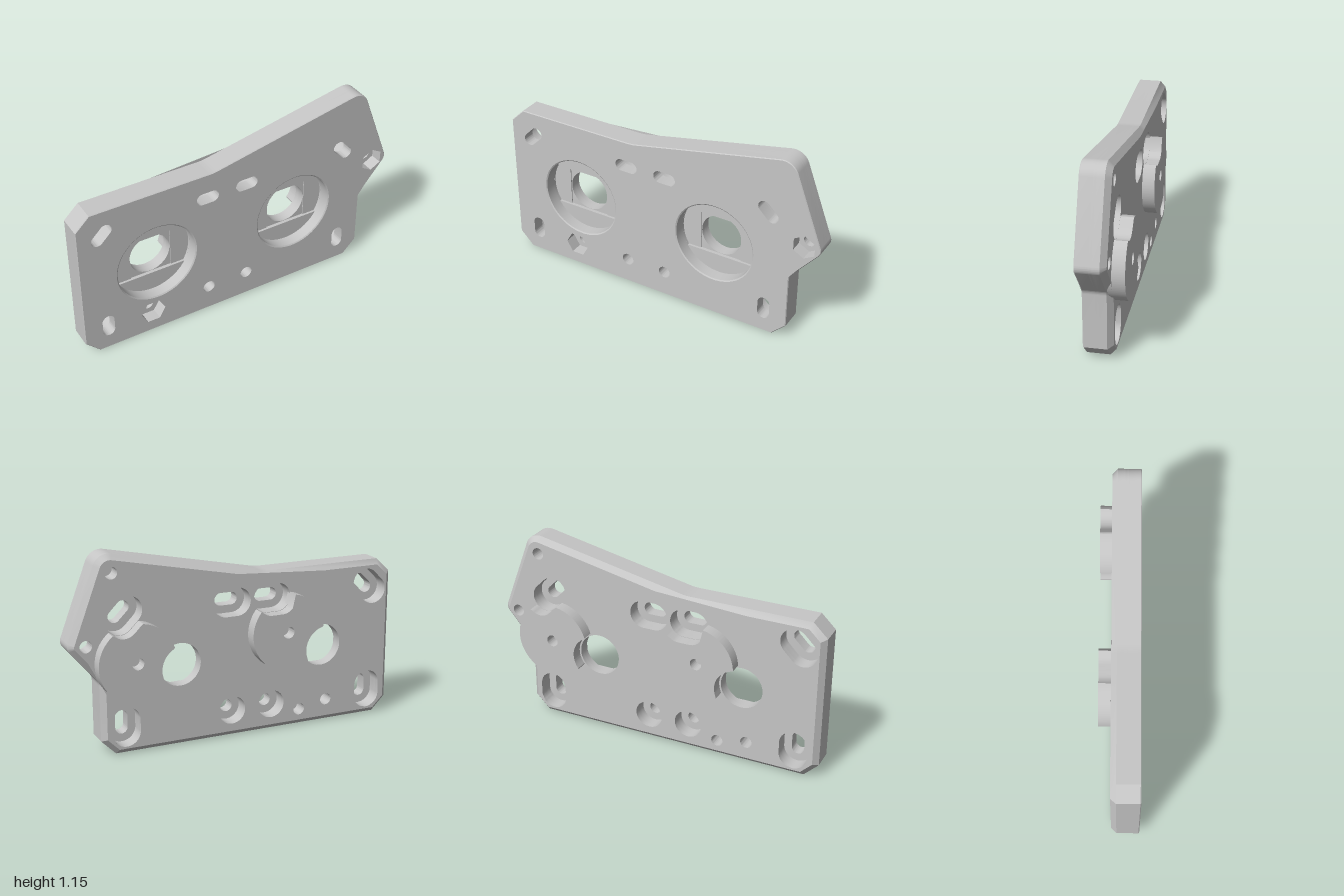
import * as THREE from 'three';
import { toCreasedNormals } from 'three/addons/utils/BufferGeometryUtils.js';

const V = (x, y) => new THREE.Vector2(x, y);

// Closed polygon from [x, y, cornerRadius] corners
function roundedOutline(corners) {
  const pts = [];
  corners.forEach(([x, y, r], i) => {
    const c = V(x, y);
    if (!r) return pts.push(c);
    const p = corners[(i + corners.length - 1) % corners.length];
    const n = corners[(i + 1) % corners.length];
    const a = V(p[0], p[1]).sub(c).normalize();
    const b = V(n[0], n[1]).sub(c).normalize();
    const half = Math.acos(a.dot(b)) / 2;
    const t = r / Math.tan(half);
    const o = a.clone().add(b).normalize().multiplyScalar(r / Math.sin(half)).add(c);
    const s = a.multiplyScalar(t).add(c).sub(o);
    const e = b.multiplyScalar(t).add(c).sub(o);
    const sweep = Math.atan2(s.cross(e), s.dot(e));
    for (let k = 0; k <= 10; k++) pts.push(s.clone().rotateAround(V(0, 0), sweep * k / 10).add(o));
  });
  return pts;
}

// Mitred inward offset of a counter-clockwise polygon
function inset(pts, d) {
  return pts.map((p, i) => {
    const a = p.clone().sub(pts[(i + pts.length - 1) % pts.length]).normalize();
    const b = pts[(i + 1) % pts.length].clone().sub(p).normalize();
    const m = V(-a.y - b.y, a.x + b.x).normalize();
    return m.clone().multiplyScalar(d / Math.max(0.3, m.dot(V(-a.y, a.x)))).add(p);
  });
}

// Slot of half length h at angle a; h = 0 gives a circle
function slot(x, y, r, h = 0, a = 0) {
  const pts = [];
  for (const side of [0, 1]) {
    const base = a + side * Math.PI;
    for (let i = 0; i < 24; i++) {
      const t = base - Math.PI / 2 + (i + 0.5) / 24 * Math.PI;
      pts.push(V(x + Math.cos(base) * h + Math.cos(t) * r, y + Math.sin(base) * h + Math.sin(t) * r));
    }
  }
  return pts;
}

function polygon(x, y, r, sides, start) {
  return Array.from({ length: sides }, (_, i) => {
    const t = start + i / sides * Math.PI * 2;
    return V(x + Math.cos(t) * r, y + Math.sin(t) * r);
  });
}

// Band of half height h across a circle
function band(x, y, r, h) {
  const t = Math.asin(h / r);
  return [0, Math.PI].flatMap(base => Array.from({ length: 9 }, (_, i) => {
    const a = base - t + 2 * t * i / 8;
    return V(x + Math.cos(a) * r, y + Math.sin(a) * r);
  }));
}

function slab(pts, holes, z0, z1) {
  const shape = new THREE.Shape(pts);
  shape.holes = holes.map(h => new THREE.Path(h));
  return new THREE.ExtrudeGeometry(shape, { depth: z1 - z0, bevelEnabled: false }).translate(0, 0, z0);
}

// Move the points of one loop at height z to another loop, making a chamfer
function taper(geo, z, from, to) {
  const pos = geo.attributes.position;
  for (let i = 0; i < pos.count; i++) {
    if (Math.abs(pos.getZ(i) - z) > 0.001) continue;
    const p = V(pos.getX(i), pos.getY(i));
    const k = from.findIndex(o => o.distanceTo(p) < 1e-5);
    if (k >= 0) pos.setXY(i, to[k].x, to[k].y);
  }
}

export function createModel() {
  const group = new THREE.Group();
  const grey = new THREE.MeshStandardMaterial({ color: 0xc6c6c6 });
  grey.name = 'lightGrey';
  const add = (name, geo) => {
    const mesh = new THREE.Mesh(toCreasedNormals(geo, 0.55), grey);
    mesh.name = name;
    group.add(mesh);
  };

  const FRONT = 0.118, EDGE = 0.113, POCKET = 0.044, STRIP = 0.03, SEAT = 0.024;
  const CHAMFER = -0.015, BACK = -0.046, DISC = -0.118;
  const outline = roundedOutline([
    [-1, 0.875], [-1, 0.085], [-0.915, 0], [0.745, 0], [0.83, 0.085], [0.83, 0.43, 0.05],
    [1.01, 0.645, 0.05], [0.816, 1.16, 0.09], [-0.17, 0.957, 0.3], [-0.915, 0.957],
  ]);

  // Mounting slots: x, y, half length, angle
  const Q = Math.PI / 4;
  const slots = [
    [-0.853, 0.802, 0.035, Q], [0.688, 0.802, 0.035, -Q],
    [-0.208, 0.802, 0.033, 0], [0.042, 0.802, 0.033, 0],
    [-0.853, 0.158, 0.033, 2 * Q], [0.688, 0.158, 0.033, 2 * Q],
    [-0.208, 0.158, 0, 0], [0.042, 0.158, 0, 0],
  ];
  const bores = [[-0.533, 0.48], [0.362, 0.48]];
  const nuts = [[-0.572, 0.134, 0.075, 0], [0.907, 0.653, 0.072, Math.PI / 2]];
  const blind = [[0.753, 1.045], [-0.393, 0.098]];

  const counterbores = slots.map(([x, y, h, a]) => slot(x, y, 0.083, h, a));
  const boltHoles = [...nuts, ...blind].map(([x, y]) => slot(x, y, 0.035));
  const boreHoles = bores.map(([x, y]) => slot(x, y, 0.125));

  // Front layer: round pockets, hex nut traps and slots, with a fine edge chamfer
  const pockets = bores.map(([x, y]) => slot(x, y, 0.243));
  const frontHoles = [
    ...pockets,
    ...nuts.map(([x, y, r, s]) => polygon(x, y, r, 6, s)),
    ...slots.map(([x, y, h, a]) => slot(x, y, 0.037, h, a)),
  ];
  add('frontPlate', slab(outline, frontHoles, POCKET, EDGE));
  const face = slab(outline, frontHoles, EDGE, FRONT);
  taper(face, FRONT, outline, inset(outline, 0.004));
  bores.forEach(([x, y], i) => taper(face, FRONT, pockets[i], slot(x, y, 0.25)));
  add('frontFace', face);

  // Stepped pocket floors: a band across the pocket, then a square seat
  add('bandPlate', slab(outline, [
    ...bores.map(([x, y]) => band(x, y, 0.243, 0.127)), ...counterbores, ...boltHoles,
  ], STRIP, POCKET));
  add('seatPlate', slab(outline, [
    ...bores.map(([x, y]) => polygon(x, y, 0.127 * Math.SQRT2, 4, Q)), ...counterbores, ...boltHoles,
  ], SEAT, STRIP));

  const backHoles = [...boreHoles, ...counterbores, ...boltHoles];
  add('backPlate', slab(outline, backHoles, CHAMFER, SEAT));

  // Chamfered back layer
  const rim = slab(outline, backHoles, BACK, CHAMFER);
  taper(rim, BACK, outline, inset(outline, 0.03));
  add('chamferedBack', rim);

  // Raised rear discs, cut away around the neighbouring bore and counterbore
  [['leftDisc', 0.637, 0.541, bores[1], slots[1]], ['rightDisc', -0.283, 0.603, bores[0], slots[2]]]
    .forEach(([name, x, y, bore, [sx, sy, h, a]]) => {
      const axis = V(Math.cos(a), Math.sin(a));
      const isCut = p => {
        if (p.distanceTo(V(bore[0], bore[1])) < 0.135) return true;
        const d = p.clone().sub(V(sx, sy));
        const along = THREE.MathUtils.clamp(d.dot(axis), -h, h);
        return d.distanceTo(axis.clone().multiplyScalar(along)) < 0.085;
      };
      const pts = [];
      for (let i = 0; i < 240; i++) {
        const dir = V(Math.cos(i / 120 * Math.PI), Math.sin(i / 120 * Math.PI));
        let r = 0.225;
        const at = () => V(x + dir.x * r, y + dir.y * r);
        while (r > 0.06 && isCut(at())) r -= 0.0005;
        pts.push(at());
      }
      add(name, slab(pts, [slot(x, y, 0.035)], DISC, -0.02));
    });

  return group;
}
